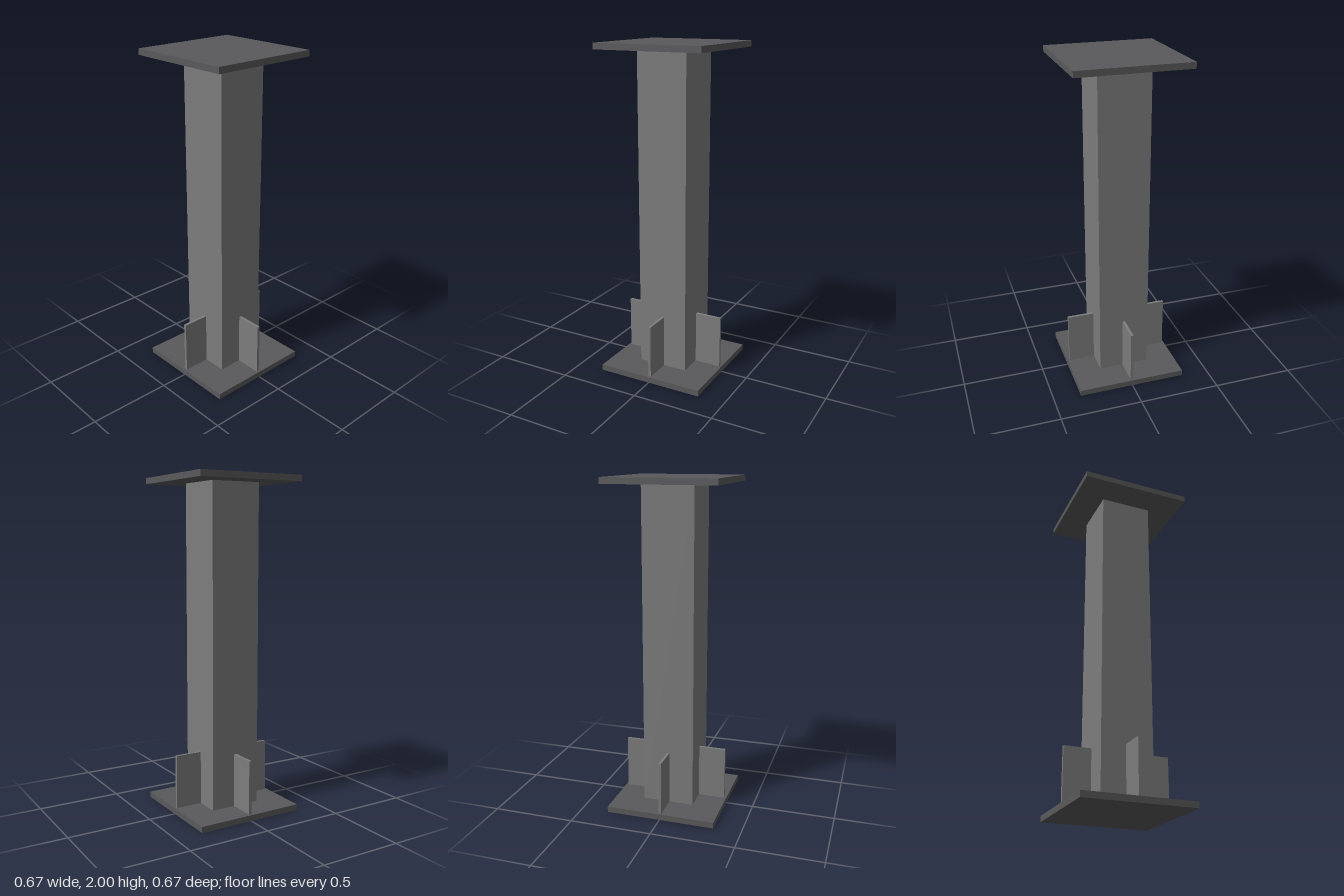
import * as THREE from 'three';

const PLATE = 0.666, PLATE_T = 0.036, HEIGHT = 2;
const COLUMN = 0.312, FIN_REACH = 0.32, FIN_TOP = 0.36, FIN_T = 0.017;

export function createModel() {
  const group = new THREE.Group();
  group.name = 'steelColumn';
  const darkSteel = new THREE.MeshStandardMaterial({ name: 'dark steel', color: 0x5a5a5c });
  const greySteel = new THREE.MeshStandardMaterial({ name: 'grey steel', color: 0x7d7d7d });

  const box = (name, size, position, material, parent = group) => {
    const mesh = new THREE.Mesh(new THREE.BoxGeometry(...size), material);
    mesh.name = name;
    mesh.position.set(...position);
    parent.add(mesh);
  };

  // Square end plates
  box('basePlate', [PLATE, PLATE_T, PLATE], [0, PLATE_T / 2, 0], darkSteel);
  box('topPlate', [PLATE, PLATE_T, PLATE], [0, HEIGHT - PLATE_T / 2, 0], darkSteel);

  // Square shaft between the plates
  box('shaft', [COLUMN, HEIGHT - 2 * PLATE_T, COLUMN], [0, HEIGHT / 2, 0], greySteel);

  // One upright stiffener in the middle of each side
  const finLength = FIN_REACH - COLUMN / 2, finHeight = FIN_TOP - PLATE_T;
  ['left', 'back', 'right', 'front'].forEach((side, i) => {
    const pivot = new THREE.Group();
    pivot.name = side + 'Stiffener';
    pivot.rotation.y = i * Math.PI / 2;
    group.add(pivot);
    box(side + 'StiffenerPlate', [finLength, finHeight, FIN_T],
      [COLUMN / 2 + finLength / 2, PLATE_T + finHeight / 2, 0], greySteel, pivot);
  });

  return group;
}
